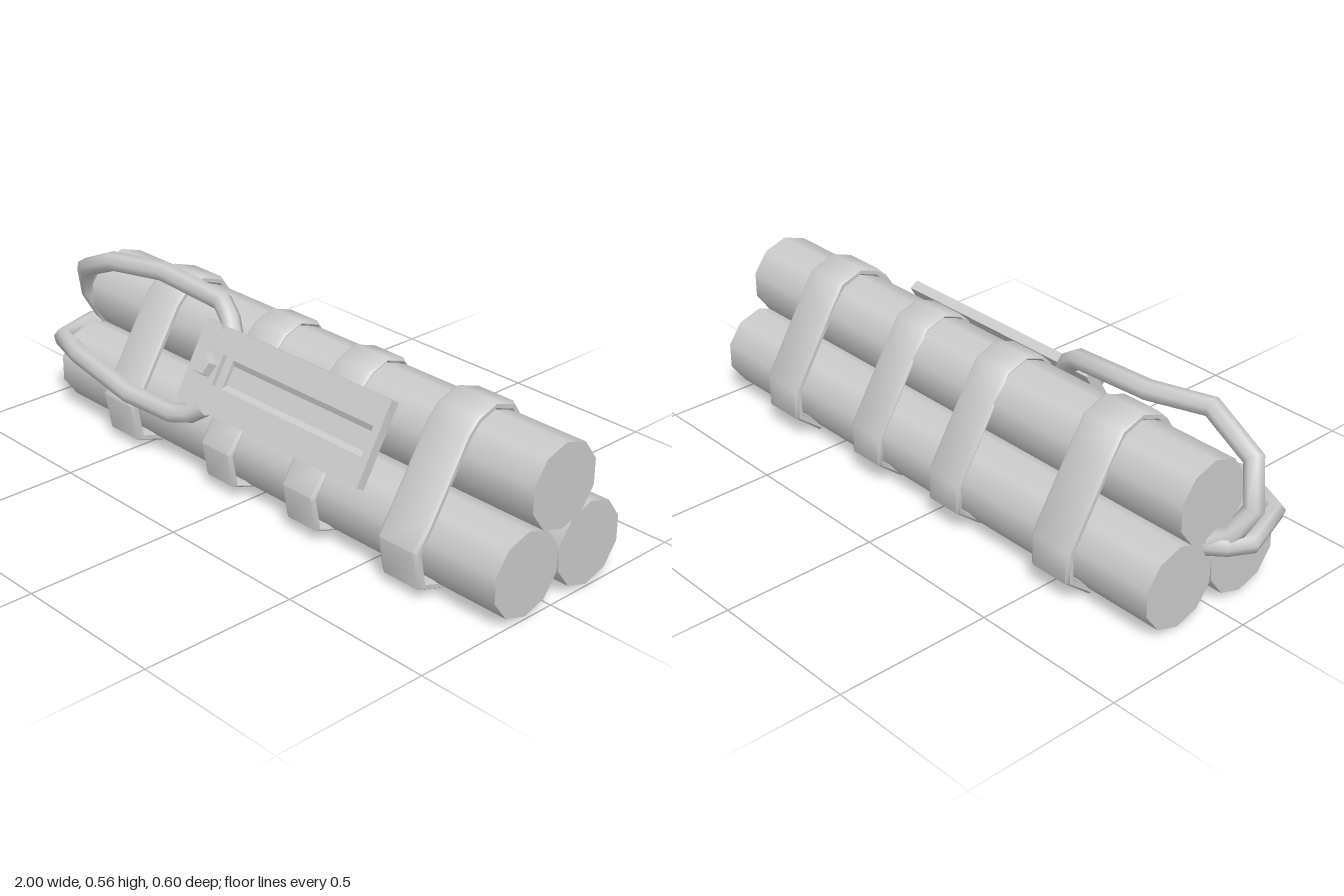
import * as THREE from 'three';
import { toCreasedNormals } from 'three/addons/utils/BufferGeometryUtils.js';

const grey = new THREE.MeshStandardMaterial({ color: 0xcccccc });
const greyOpen = new THREE.MeshStandardMaterial({ color: 0xcccccc, side: THREE.DoubleSide });

function add(parent, name, geometry, x = 0, y = 0, z = 0, material = grey) {
  const mesh = new THREE.Mesh(geometry, material);
  mesh.name = name;
  mesh.position.set(x, y, z);
  parent.add(mesh);
}

// Ten-sided tube along x: full end caps, with the two lowest side faces left open
function addTube(parent, name, y, z) {
  const tube = new THREE.Group();
  tube.name = name;
  tube.position.set(0.055, y, z);
  const side = new THREE.CylinderGeometry(0.13, 0.13, 1.89, 8, 1, true, -0.3 * Math.PI, 1.6 * Math.PI);
  side.rotateZ(Math.PI / 2);
  add(tube, 'tubeSide', side, 0, 0, 0, greyOpen);
  for (const end of [-1, 1]) {
    const cap = new THREE.CircleGeometry(0.13, 10, Math.PI / 2);
    cap.rotateY(end * Math.PI / 2);
    add(tube, 'tubeEnd', cap, end * 0.945, 0, 0, greyOpen);
  }
  parent.add(tube);
}

// Strap outline as [z, y], from the front underside over the top to the back underside
const strapPath = [
  [0.15, 0.002], [0.25, 0.035], [0.272, 0.157], [0.22, 0.234], [0.085, 0.453], [0.045, 0.492],
  [-0.025, 0.517], [-0.105, 0.49], [-0.158, 0.41], [-0.3, 0.175], [-0.3, 0.075], [-0.208, 0.001],
].map(([z, y]) => new THREE.Vector2(-z, y));

// Moves an open path sideways, keeping its corners mitred
function offsetPath(path, distance) {
  return path.map((p, i) => {
    const before = p.clone().sub(path[Math.max(i - 1, 0)]).normalize();
    const after = path[Math.min(i + 1, path.length - 1)].clone().sub(p).normalize();
    const along = before.clone().add(after).normalize();
    const stretch = along.dot(i ? before : after);
    return new THREE.Vector2(p.x + along.y * distance / stretch, p.y - along.x * distance / stretch);
  });
}

function strapGeometry(width, inset, thickness) {
  const outer = offsetPath(strapPath, inset);
  const inner = offsetPath(strapPath, inset + thickness);
  const bevel = 0.012;
  const band = new THREE.ExtrudeGeometry(new THREE.Shape([...outer, ...inner.reverse()]), {
    depth: width - 2 * bevel, bevelEnabled: true, bevelSegments: 1,
    bevelThickness: bevel, bevelSize: 0.007, bevelOffset: -0.007,
  });
  band.translate(0, 0, bevel - width / 2);
  band.rotateY(Math.PI / 2);
  return toCreasedNormals(band, 0.9);
}

// Straight-segment path, so that the tube bends only at its points
class Polyline extends THREE.Curve {
  constructor(points) {
    super();
    this.points = points.map((p) => new THREE.Vector3(...p));
  }
  getPointAt(t) {
    return this.points[Math.round(t * (this.points.length - 1))].clone();
  }
  getTangentAt(t) {
    const p = this.points, last = p.length - 1, i = Math.round(t * last);
    const before = p[i].clone().sub(p[Math.max(i - 1, 0)]).normalize();
    const after = p[Math.min(i + 1, last)].clone().sub(p[i]).normalize();
    return before.add(after).normalize();
  }
}

function wireGeometry(points) {
  return new THREE.TubeGeometry(new Polyline(points), points.length - 1, 0.032, 7);
}

function rectangle(PathType, halfWidth, halfHeight, x = 0) {
  return new PathType([[-1, -1], [1, -1], [1, 1], [-1, 1]]
    .map(([sx, sy]) => new THREE.Vector2(x + sx * halfWidth, sy * halfHeight)));
}

// Tilted control plate with a sunken channel and a push button
function controlPlate() {
  const plate = new THREE.Group();
  plate.name = 'controlPlate';
  plate.position.set(0.0975, 0.357, 0.175);
  plate.rotation.x = -Math.PI / 6;

  add(plate, 'plateBack', new THREE.BoxGeometry(0.785, 0.262, 0.02), 0, 0, -0.022);
  const face = rectangle(THREE.Shape, 0.3925, 0.131);
  face.holes.push(rectangle(THREE.Path, 0.295, 0.046, 0.07));
  add(plate, 'plateFace', new THREE.ExtrudeGeometry(face, { depth: 0.012, bevelEnabled: false }), 0, 0, -0.012);

  // Sloping long sides of the channel
  for (const side of [-1, 1]) {
    const wedge = new THREE.Shape([[0, 0], [-0.012, 0], [0, -side * 0.016]].map((p) => new THREE.Vector2(...p)));
    const slope = new THREE.ExtrudeGeometry(wedge, { depth: 0.59, bevelEnabled: false });
    slope.rotateY(Math.PI / 2);
    add(plate, 'channelSlope', slope, -0.225, side * 0.046, -0.012);
  }

  add(plate, 'buttonBase', new THREE.BoxGeometry(0.096, 0.096, 0.03), -0.305, 0.002, 0);
  const button = new THREE.CylinderGeometry(0.034, 0.04, 0.03, 5);
  button.rotateX(Math.PI / 2);
  button.rotateZ(Math.PI);
  add(plate, 'button', toCreasedNormals(button, 0.3), -0.305, 0.002, 0.028);
  return plate;
}

export function createModel() {
  const model = new THREE.Group();
  model.name = 'strappedTubes';

  // Three tubes stacked in a triangle
  addTube(model, 'topTube', 0.357, -0.027);
  addTube(model, 'frontTube', 0.14, 0.107);
  addTube(model, 'backTube', 0.138, -0.146);

  // Wide outer straps and slimmer inner straps
  for (const x of [-0.547, 0.677]) add(model, 'outerStrap', strapGeometry(0.152, 0, 0.026), x);
  for (const x of [-0.09, 0.27]) add(model, 'innerStrap', strapGeometry(0.138, 0.009, 0.017), x);

  model.add(controlPlate());

  // Two wires looping from the plate round to the tube ends
  add(model, 'upperWire', wireGeometry([
    [-0.2, 0.44, 0.09], [-0.23, 0.48, 0.075], [-0.28, 0.515, 0.062], [-0.56, 0.528, 0.06],
    [-0.74, 0.527, 0.122], [-0.915, 0.45, 0.1], [-0.967, 0.34, 0.05],
    [-0.925, 0.25, 0.015], [-0.87, 0.22, -0.035], [-0.8, 0.215, -0.04],
  ]), 0, 0, 0, greyOpen);
  add(model, 'lowerWire', wireGeometry([
    [-0.19, 0.245, 0.215], [-0.24, 0.21, 0.235], [-0.3, 0.195, 0.25], [-0.5, 0.195, 0.26],
    [-0.74, 0.25, 0.27], [-0.91, 0.235, 0.21], [-0.966, 0.232, 0.05],
    [-0.925, 0.225, 0.0], [-0.87, 0.217, -0.035], [-0.8, 0.215, -0.04],
  ]), 0, 0, 0, greyOpen);
  return model;
}
